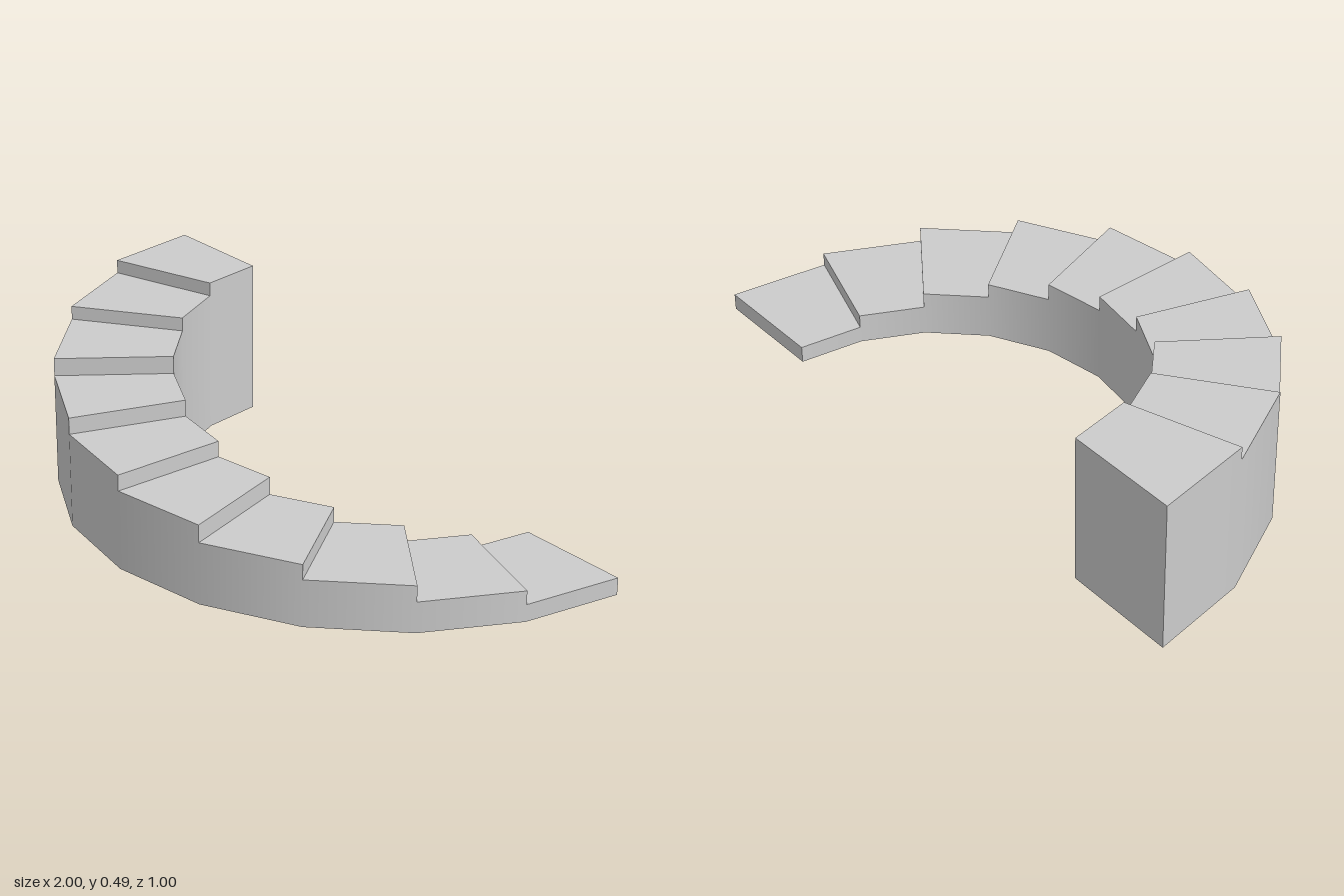
import * as THREE from 'three';

// Curved staircase: ten wedge steps sweeping half a turn
const HEIGHTS = [0.054, 0.097, 0.147, 0.194, 0.249, 0.299, 0.351, 0.407, 0.45, 0.493];
const OUTER = 1, INNER = 0.64, CENTRE_Z = -0.5;
const STEP = Math.PI / HEIGHTS.length;

const point = (r, a, y) => [r * Math.cos(a), y, CENTRE_Z + r * Math.sin(a)];

function stepGeometry(i) {
  const a0 = i * STEP, a1 = a0 + STEP;
  const h = HEIGHTS[i], below = i ? HEIGHTS[i - 1] : 0;
  const pos = [], nor = [], index = [];

  // Four corners, counter-clockwise from outside, with one normal each
  const quad = (corners, normals) => {
    const n = pos.length / 3;
    corners.forEach(c => pos.push(...c));
    normals.forEach(v => nor.push(...v));
    index.push(n, n + 1, n + 2, n, n + 2, n + 3);
  };
  const flat = (n, ...corners) => quad(corners, [n, n, n, n]);

  // Radial normals shade the walls smoothly; the two ends take their facet's normal
  const radial = (a, s) => {
    const t = THREE.MathUtils.clamp(a, STEP / 2, Math.PI - STEP / 2);
    return [s * Math.cos(t), 0, s * Math.sin(t)];
  };
  const wall = (r, from, to, s) => quad(
    [point(r, from, 0), point(r, to, 0), point(r, to, h), point(r, from, h)],
    [radial(from, s), radial(to, s), radial(to, s), radial(from, s)]);
  wall(OUTER, a1, a0, 1);
  wall(INNER, a0, a1, -1);

  // Tread and underside
  flat([0, 1, 0], point(OUTER, a1, h), point(OUTER, a0, h), point(INNER, a0, h), point(INNER, a1, h));
  flat([0, -1, 0], point(INNER, a1, 0), point(INNER, a0, 0), point(OUTER, a0, 0), point(OUTER, a1, 0));

  // Riser above the previous tread
  flat([Math.sin(a0), 0, -Math.cos(a0)],
    point(OUTER, a0, below), point(INNER, a0, below), point(INNER, a0, h), point(OUTER, a0, h));

  // Tall back wall closing the top step
  if (i === HEIGHTS.length - 1) {
    flat([-Math.sin(a1), 0, Math.cos(a1)],
      point(INNER, a1, 0), point(OUTER, a1, 0), point(OUTER, a1, h), point(INNER, a1, h));
  }

  const geometry = new THREE.BufferGeometry();
  geometry.setAttribute('position', new THREE.Float32BufferAttribute(pos, 3));
  geometry.setAttribute('normal', new THREE.Float32BufferAttribute(nor, 3));
  geometry.setIndex(index);
  return geometry;
}

export function createModel() {
  const group = new THREE.Group();
  group.name = 'curvedStaircase';
  const material = new THREE.MeshStandardMaterial({ color: 0xcccccc });
  HEIGHTS.forEach((_, i) => {
    const step = new THREE.Mesh(stepGeometry(i), material);
    step.name = `step${i + 1}`;
    group.add(step);
  });
  return group;
}
